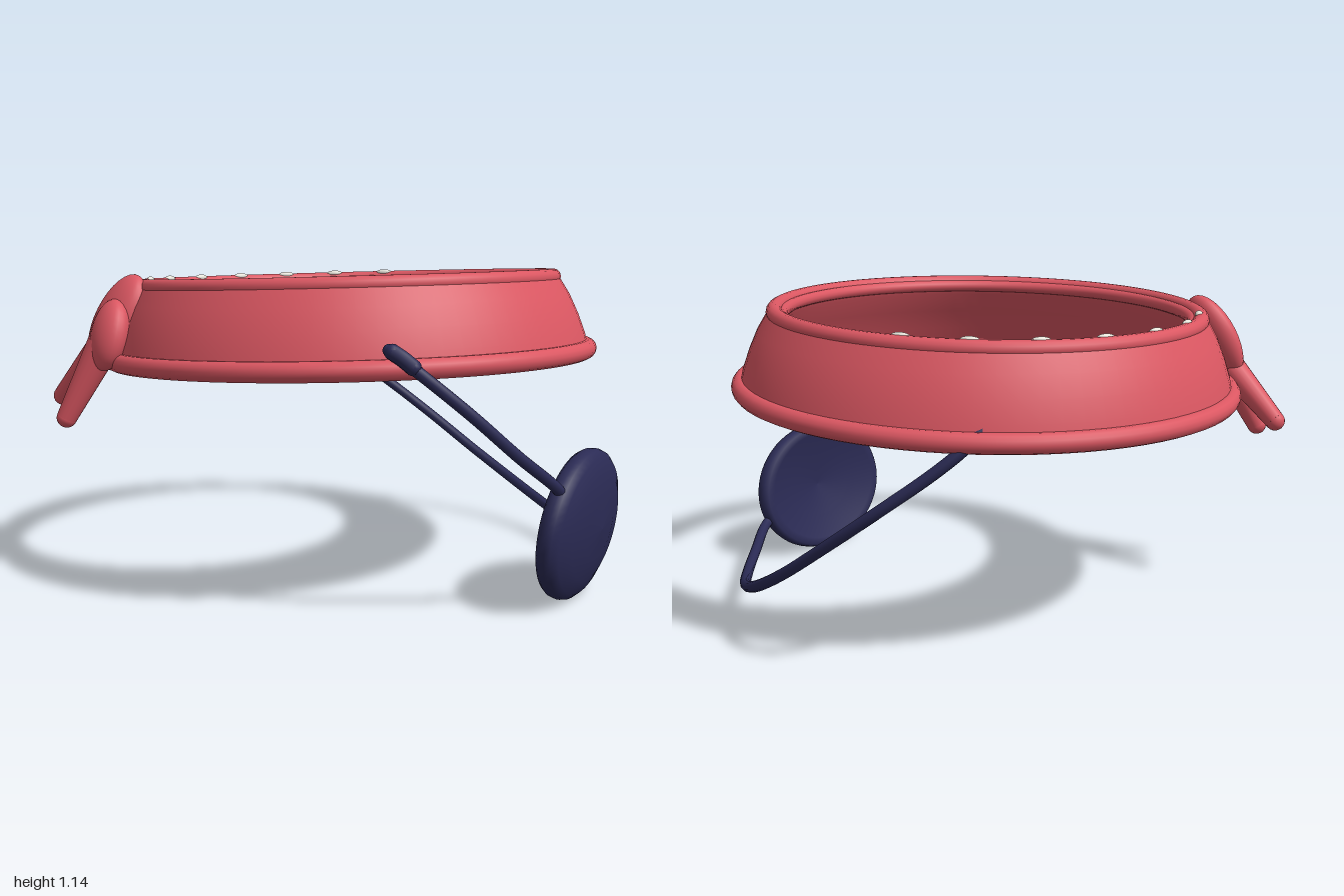
import * as THREE from 'three';

const red = new THREE.MeshStandardMaterial({ name: 'red cloth', color: 0xdb5762 });
const navy = new THREE.MeshStandardMaterial({ name: 'navy cord', color: 0x2b2b55 });
const white = new THREE.MeshStandardMaterial({ name: 'white stitch', color: 0xe6e4da });

const v3 = (p) => new THREE.Vector3(...p);

function add(parent, name, geometry, material, position = [0, 0, 0]) {
  const mesh = new THREE.Mesh(geometry, material);
  mesh.name = name;
  mesh.position.set(...position);
  parent.add(mesh);
  return mesh;
}

function ellipsoid(parent, name, material, position, radii, rotation = [0, 0, 0]) {
  const mesh = add(parent, name, new THREE.SphereGeometry(1, 24, 16), material, position);
  mesh.scale.set(...radii);
  mesh.rotation.set(...rotation);
  return mesh;
}

// Round cord through a few points, closed by a ball at each end
function cord(parent, name, points, radius) {
  const curve = new THREE.CatmullRomCurve3(points.map(v3));
  const group = new THREE.Group();
  group.name = name;
  add(group, name + 'Strand', new THREE.TubeGeometry(curve, 64, radius, 10), navy);
  for (const p of [points[0], points[points.length - 1]]) {
    add(group, name + 'End', new THREE.SphereGeometry(radius, 10, 8), navy, p);
  }
  parent.add(group);
}

// Tapered strip with a rounded tip
function tail(parent, from, to, r0, r1) {
  const a = v3(from), b = v3(to), d = b.clone().sub(a);
  const mesh = add(parent, 'knotTail', new THREE.CylinderGeometry(r1, r0, d.length(), 18, 1), red);
  mesh.position.copy(a).addScaledVector(d, 0.5);
  mesh.quaternion.setFromUnitVectors(new THREE.Vector3(0, 1, 0), d.normalize());
  add(parent, 'knotTailTip', new THREE.SphereGeometry(r1, 18, 12), red, to);
}

function createCollar() {
  const collar = new THREE.Group();
  collar.name = 'collar';
  collar.position.set(0.043, 0.79, -0.045);
  collar.rotation.x = -0.042;

  // Thin flared wall: outside going up, inside coming down
  const outside = [[0.895, 0.03], [0.882, 0.09], [0.858, 0.16], [0.828, 0.23], [0.79, 0.295]];
  const inside = [[0.728, 0.295], [0.738, 0.25], [0.79, 0.17], [0.83, 0.09], [0.86, 0.03]];
  const lathe = (points) =>
    new THREE.LatheGeometry(points.map((p) => new THREE.Vector2(...p)), 80);
  add(collar, 'outerWall', lathe(outside), red);
  add(collar, 'innerWall', lathe(inside), red);

  // Rolled hems
  const hem = (name, radius, tube, y) => {
    const mesh = add(collar, name, new THREE.TorusGeometry(radius, tube, 14, 80), red, [0, y, 0]);
    mesh.rotation.x = Math.PI / 2;
  };
  hem('bottomHem', 0.89, 0.034, 0.034);
  hem('topHem', 0.767, 0.029, 0.296);
  hem('innerHem', 0.739, 0.023, 0.285);

  // Stitches along the back of the top hem
  for (let i = -3; i <= 3; i++) {
    const a = i * 0.288;
    ellipsoid(collar, 'stitch', white,
      [0.757 * Math.sin(a), 0.319, -0.757 * Math.cos(a)], [0.034, 0.013, 0.014], [0, -a, 0]);
  }
  return collar;
}

function createKnot() {
  const knot = new THREE.Group();
  knot.name = 'knot';
  ellipsoid(knot, 'tallLoop', red, [-0.785, 0.965, -0.335], [0.062, 0.175, 0.105], [0.3, 0, -0.4]);
  ellipsoid(knot, 'shortLoop', red, [-0.84, 0.915, -0.285], [0.06, 0.13, 0.09], [-0.15, 0, -0.3]);
  tail(knot, [-0.85, 0.88, -0.31], [-0.963, 0.618, -0.395], 0.06, 0.036);
  tail(knot, [-0.83, 0.88, -0.34], [-0.895, 0.672, -0.57], 0.058, 0.036);
  return knot;
}

function createPatch() {
  const patch = new THREE.Group();
  patch.name = 'eyePatch';
  // Shallow dome with a rounded edge and a hollow back
  const profile = [[0, 0.02], [0.5, 0.005], [0.85, -0.028], [0.95, -0.03], [0.99, -0.015],
    [1, 0.005], [0.98, 0.024], [0.9, 0.044], [0.7, 0.066], [0.4, 0.082], [0, 0.09]];
  const geometry = new THREE.LatheGeometry(profile.map((p) => new THREE.Vector2(...p)), 56);
  geometry.rotateX(Math.PI / 2);
  geometry.scale(0.326, 0.267, 1);
  const mesh = add(patch, 'patchDome', geometry, navy, [0.382, 0.268, 0.822]);
  mesh.rotation.set(0.1, 0.38, 0, 'YXZ');

  cord(patch, 'frontCord', [[-0.41, 0.92, 0.74], [-0.35, 0.855, 0.805], [-0.2, 0.715, 0.89],
    [-0.03, 0.57, 0.93], [0.14, 0.45, 0.935], [0.19, 0.41, 0.92]], 0.02);
  cord(patch, 'frontCordTip', [[-0.405, 0.915, 0.75], [-0.385, 0.895, 0.775], [-0.36, 0.868, 0.797]], 0.026);
  cord(patch, 'sideCord', [[0.6, 0.2, 0.745], [0.67, 0.165, 0.695], [0.78, 0.125, 0.5],
    [0.875, 0.115, 0.3], [0.945, 0.14, 0.1], [0.97, 0.2, -0.1], [0.94, 0.3, -0.3],
    [0.86, 0.44, -0.5], [0.755, 0.57, -0.65], [0.61, 0.7, -0.755], [0.52, 0.78, -0.795],
    [0.46, 0.84, -0.8]], 0.02);
  return patch;
}

export function createModel() {
  const model = new THREE.Group();
  model.name = 'collarAndEyePatch';
  model.add(createCollar(), createKnot(), createPatch());
  return model;
}
